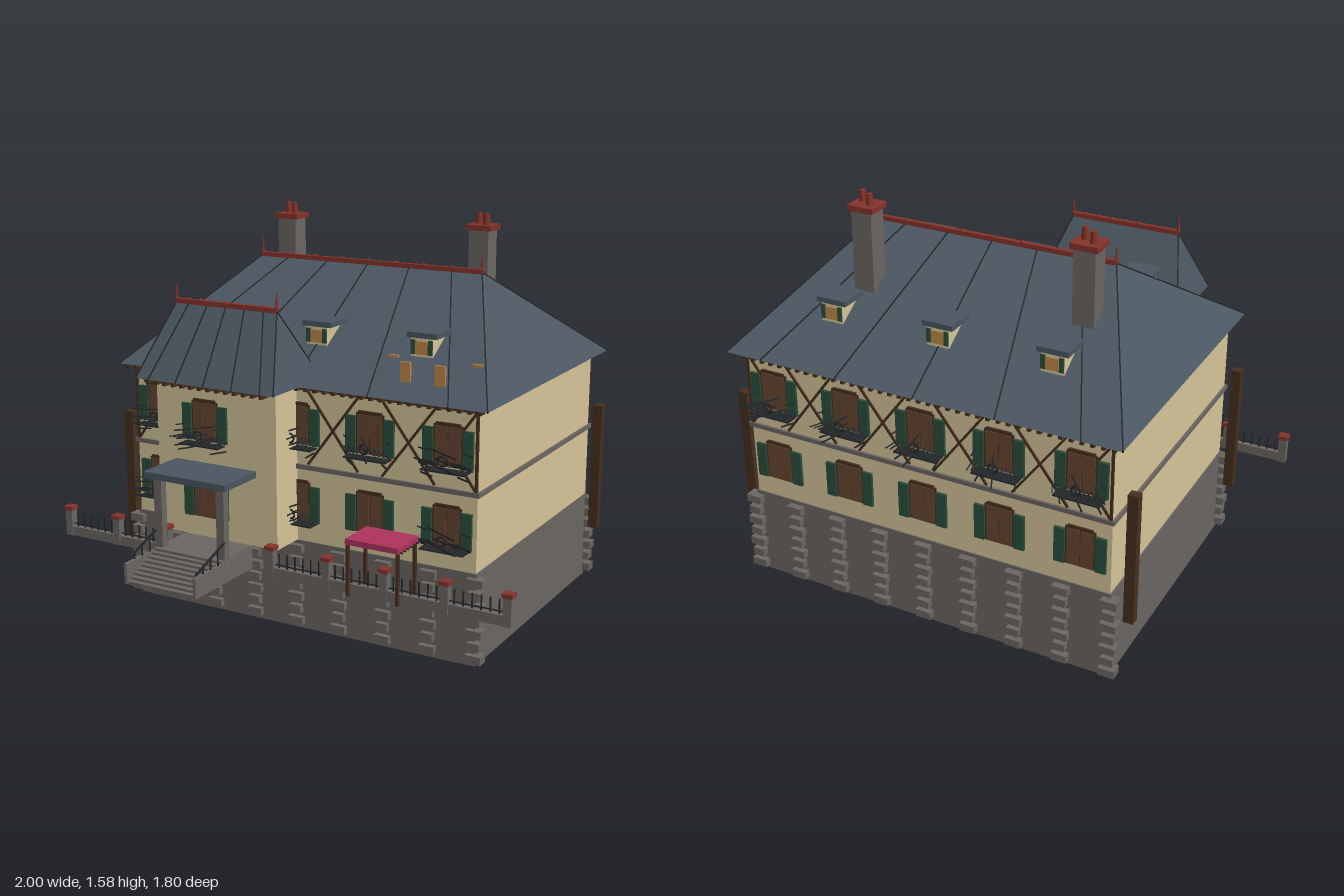
import * as THREE from 'three';

const mat = (name, color) => Object.assign(new THREE.MeshStandardMaterial({ color }), { name });

export function createModel() {
  const M = {
    cream: mat('creamRender', 0xd9c89b), stone: mat('greyStone', 0x6c6763), slate: mat('blueSlate', 0x4b5762),
    red: mat('redTerracotta', 0x87332b), wood: mat('brownWood', 0x674731), timber: mat('darkTimber', 0x47301f),
    green: mat('greenShutter', 0x2b4f3d), iron: mat('blackIron', 0x24272a), ochre: mat('ochreWood', 0xc08a48),
    pink: mat('pinkCloth', 0xb03360),
  };
  const house = new THREE.Group();
  house.name = 'house';
  const add = (parent, name, geo, m, x = 0, y = 0, z = 0) => {
    const mesh = new THREE.Mesh(geo, m);
    mesh.name = name;
    mesh.position.set(x, y, z);
    parent.add(mesh);
    return mesh;
  };
  // Box given by its limits on each axis
  const box = (p, name, m, x0, x1, y0, y1, z0, z1) =>
    add(p, name, new THREE.BoxGeometry(x1 - x0, y1 - y0, z1 - z0), m, (x0 + x1) / 2, (y0 + y1) / 2, (z0 + z1) / 2);
  // Square bar between two points
  const bar = (p, name, m, a, b, w, d = w) => {
    const A = new THREE.Vector3(...a), B = new THREE.Vector3(...b);
    const mesh = add(p, name, new THREE.BoxGeometry(w, d, A.distanceTo(B)), m);
    mesh.position.copy(A).add(B).multiplyScalar(0.5);
    mesh.lookAt(B);
    return mesh;
  };
  const group = (name, x = 0, y = 0, z = 0) => {
    const g = new THREE.Group();
    g.name = name;
    g.position.set(x, y, z);
    house.add(g);
    return g;
  };

  // Basement, walls and bands
  box(house, 'basement', M.stone, -0.77, 0.77, 0, 0.365, -0.81, 0.325);
  box(house, 'walls', M.cream, -0.765, 0.765, 0.365, 0.985, -0.805, 0.32);
  box(house, 'stringCourse', M.stone, -0.775, 0.775, 0.658, 0.676, -0.815, 0.33);
  box(house, 'eavesBand', M.timber, -0.775, 0.775, 0.972, 0.988, -0.815, 0.33);
  box(house, 'bay', M.cream, -0.55, 0, 0.365, 0.99, 0.3, 0.47);

  // Projecting stones on the basement
  for (let c = 0; c < 9; c++) for (let r = 0; r < 7; r++) {
    const x = (c - 4) * 0.1925, y = 0.018 + r * 0.05, s = r % 2 ? 0.025 : 0.032;
    box(house, 'frontStone', M.stone, x - s, x + s, y, y + 0.032, 0.3, 0.348);
    box(house, 'backStone', M.stone, x - s, x + s, y, y + 0.032, -0.838, -0.79);
  }

  // Hipped roof with seams, ridge and finials
  function hipRoof(name, x0, x1, z0, z1, y0, r0, r1, y1, seams, front) {
    const g = group(name), rz = (z0 + z1) / 2;
    const a = [x0, y0, z0], b = [x1, y0, z0], c = [x1, y0, z1], d = [x0, y0, z1], e = [r0, y1, rz], f = [r1, y1, rz];
    const geo = new THREE.BufferGeometry();
    const tris = [d, c, f, d, f, e, b, a, e, b, e, f, c, b, f, a, d, e, a, b, c, a, c, d];
    geo.setAttribute('position', new THREE.Float32BufferAttribute(tris.flat(), 3));
    geo.computeVertexNormals();
    add(g, 'slates', geo, M.slate);
    const cx = (x0 + x1) / 2, rc = (r0 + r1) / 2;
    for (const t of seams) for (const z of front ? [z1] : [z0, z1])
      bar(g, 'seam', M.iron, [cx + t * 0.81 * (x1 - x0) / 2, y0, z], [rc + t * 0.74 * (r1 - r0) / 2, y1, rz], 0.005);
    for (const [p, q] of [[a, e], [d, e], [b, f], [c, f]]) bar(g, 'hip', M.iron, p, q, 0.005);
    box(g, 'ridge', M.red, r0, r1, y1 - 0.006, y1 + 0.012, rz - 0.01, rz + 0.01);
    for (let i = 0; i <= 8; i++)
      add(g, 'ridgeKnob', new THREE.SphereGeometry(0.009, 8, 6), M.red, r0 + (r1 - r0) * i / 8, y1 + 0.01, rz);
    for (const x of [r0, r1])
      add(g, 'finial', new THREE.CylinderGeometry(0.002, 0.007, 0.07, 8), M.red, x, y1 + 0.035, rz);
  }
  hipRoof('mainRoof', -0.815, 0.815, -0.86, 0.365, 0.99, -0.51, 0.505, 1.38, [-1, -0.5, 0, 0.5, 1], false);
  hipRoof('bayRoof', -0.59, 0.04, 0.2, 0.55, 0.992, -0.51, -0.05, 1.275, [-1, -0.5, 0, 0.5, 1], true);

  // Rafter tails under the eaves
  for (let x = -0.78; x < 0.79; x += 0.04) {
    if (x < -0.56 || x > 0.01) box(house, 'frontRafter', M.timber, x - 0.007, x + 0.007, 0.974, 0.988, 0.32, 0.36);
    else box(house, 'bayRafter', M.timber, x - 0.007, x + 0.007, 0.974, 0.99, 0.5, 0.545);
    box(house, 'backRafter', M.timber, x - 0.007, x + 0.007, 0.974, 0.988, -0.855, -0.805);
  }

  // Chimneys with twin pots
  for (const [x, z] of [[-0.492, -0.45], [0.395, -0.49]]) {
    const g = group('chimney', x, 0, z);
    box(g, 'stack', M.stone, -0.043, 0.043, 1.1, 1.52, -0.042, 0.042);
    box(g, 'cap', M.red, -0.055, 0.055, 1.515, 1.537, -0.05, 0.05);
    for (const s of [-1, 1])
      add(g, 'pot', new THREE.CylinderGeometry(0.012, 0.014, 0.05, 10), M.red, s * 0.022, 1.557, s * 0.012);
  }

  // Dormers on both slopes
  for (const x of [-0.46, 0, 0.455]) for (const s of [1, -1]) {
    const g = group('dormer', x, 0, s > 0 ? 0.11 : -0.61);
    if (s < 0) g.rotation.y = Math.PI;
    box(g, 'cheeks', M.cream, -0.046, 0.046, 1.08, 1.19, -0.05, 0.058);
    box(g, 'cap', M.slate, -0.063, 0.063, 1.187, 1.208, -0.062, 0.062);
    box(g, 'window', M.ochre, -0.026, 0.026, 1.125, 1.175, 0.054, 0.063);
    for (const t of [-1, 1]) box(g, 'shutter', M.green, t * 0.036 - 0.009, t * 0.036 + 0.009, 1.125, 1.18, 0.055, 0.064);
  }
  // Ochre boards standing on the front slope
  for (const x of [0.445, 0.587]) box(house, 'roofBoard', M.ochre, x - 0.021, x + 0.021, 1.04, 1.118, 0.274, 0.284);
  for (const x of [0.345, 0.69]) box(house, 'roofSlat', M.ochre, x - 0.02, x + 0.02, 1.106, 1.116, 0.176, 0.186);

  // Iron railing: a shallow balcony in front of a window
  function balcony(g, y, brackets) {
    const w = 0.09, d = 0.054, h = 0.075;
    box(g, 'balconyFloor', M.iron, -w, w, y, y + 0.005, 0, d);
    for (const yy of [y + h, y + 0.018]) {
      bar(g, 'rail', M.iron, [-w, yy, d], [w, yy, d], 0.005);
      for (const s of [-w, w]) bar(g, 'sideRail', M.iron, [s, yy, 0], [s, yy, d], 0.004);
    }
    for (let i = 0; i <= 10; i++) {
      const x = -w + i * w / 5;
      if (i < 4 || i > 6) bar(g, 'baluster', M.iron, [x, y, d], [x, y + h, d], 0.0035);
    }
    add(g, 'rosette', new THREE.TorusGeometry(0.018, 0.004, 6, 12), M.iron, 0, y + 0.045, d);
    for (const s of [-1, 1]) {
      bar(g, 'rosetteArm', M.iron, [-0.028, y + 0.045 - s * 0.028, d], [0.028, y + 0.045 + s * 0.028, d], 0.004);
      if (brackets) bar(g, 'bracket', M.iron, [s * 0.075, y - 0.04, 0], [s * 0.075, y, d], 0.005);
    }
  }
  // Shuttered window, centred at height y
  function windowUnit(x, y, z, rail, back) {
    const g = group('window', x, 0, z);
    if (back) g.rotation.y = Math.PI;
    box(g, 'frame', M.timber, -0.059, 0.059, y - 0.078, y + 0.08, -0.01, 0.006);
    box(g, 'lintel', M.timber, -0.05, 0.05, y + 0.078, y + 0.088, -0.01, 0.008);
    for (const s of [-1, 1]) {
      box(g, 'panel', M.wood, s * 0.027 - 0.025, s * 0.027 + 0.025, y - 0.075, y + 0.074, 0, 0.009);
      box(g, 'shutter', M.green, s * 0.081 - 0.021, s * 0.081 + 0.021, y - 0.078, y + 0.066, 0, 0.012);
    }
    if (rail) balcony(g, y - (rail === 2 ? 0.09 : 0.085), rail === 2);
  }
  for (const x of [-0.645, -0.322, 0, 0.322, 0.645]) {
    const inBay = x === -0.322, z = inBay ? 0.47 : 0.32;
    windowUnit(x, 0.835, z, 2, false);
    windowUnit(x, 0.525, z, inBay || x === 0.322 ? 0 : 1, false);
    windowUnit(x, 0.835, -0.805, 2, true);
    windowUnit(x, 0.525, -0.805, 0, true);
  }

  // Crossed timber framing on the upper floor
  for (const z of [0.322, -0.807]) {
    for (const x of [-0.483, -0.161, 0.161, 0.483]) {
      if (z > 0 && x < 0 && x > -0.5) continue;
      for (const s of [-1, 1]) bar(house, 'crossBrace', M.timber, [x - s * 0.11, 0.68, z], [x + s * 0.11, 0.972, z], 0.009);
    }
    for (const s of [-1, 1]) {
      bar(house, 'cornerPost', M.timber, [s * 0.76, 0.676, z], [s * 0.76, 0.972, z], 0.01);
      for (const t of [-1, 1]) bar(house, 'cornerBrace', M.timber, [s * 0.755, 0.826 + t * 0.145, z], [s * 0.65, 0.826, z], 0.009);
    }
  }

  // Tall timber posts beside the walls
  for (const [x, z] of [[0.825, -0.76], [-0.825, -0.76], [-0.825, 0.29]])
    box(house, 'sidePost', M.timber, x - 0.02, x + 0.02, 0.238, 0.775, z - 0.018, z + 0.018);

  // Garden wall with capped piers and pickets
  const piers = [[-0.98, -0.735, -0.49], [0, 0.245, 0.49, 0.735, 0.98]];
  for (const run of piers) {
    const g = group('gardenWall');
    box(g, 'lowWall', M.stone, run[0], run[run.length - 1], 0.276, 0.315, 0.502, 0.524);
    run.forEach((x, i) => {
      box(g, 'pier', M.stone, x - 0.016, x + 0.016, 0.276, 0.386, 0.497, 0.529);
      box(g, 'pierCap', M.red, x - 0.02, x + 0.02, 0.384, 0.4, 0.493, 0.533);
      if (i === run.length - 1) return;
      for (let k = 1; k < 7; k++) {
        const px = x + k * 0.035;
        bar(g, 'picket', M.iron, [px, 0.31, 0.513], [px, 0.372, 0.513], 0.005);
      }
      bar(g, 'picketRail', M.iron, [x, 0.326, 0.513], [x + 0.245, 0.326, 0.513], 0.004);
    });
  }

  // Porch, front steps and handrails
  const porch = group('porch');
  box(porch, 'landing', M.stone, -0.43, -0.115, 0.276, 0.365, 0.47, 0.68);
  for (let i = 0; i < 8; i++)
    box(porch, 'step', M.stone, -0.425, -0.12, 0.276, 0.355 - i * 0.0095, 0.67, 0.7 + i * 0.0222);
  for (const x of [-0.432, -0.116]) {
    box(porch, 'stepCheek', M.stone, x - 0.006, x + 0.006, 0.276, 0.357, 0.48, 0.856);
    box(porch, 'porchPost', M.stone, x < -0.3 ? -0.435 : -0.148, x < -0.3 ? -0.4 : -0.113, 0.36, 0.645, 0.63, 0.662);
    bar(porch, 'handrail', M.iron, [x, 0.365, 0.845], [x, 0.435, 0.655], 0.007);
    for (const t of [0.25, 0.5, 0.75])
      bar(porch, 'handrailPost', M.iron, [x, 0.35, 0.845 - t * 0.19], [x, 0.365 + t * 0.07, 0.845 - t * 0.19], 0.005);
  }
  box(porch, 'porchRoof', M.slate, -0.465, -0.092, 0.643, 0.668, 0.465, 0.682);

  // Cloth canopy on four legs
  const canopy = group('canopy');
  box(canopy, 'cloth', M.pink, 0.346, 0.565, 0.478, 0.5, 0.392, 0.555);
  for (const x of [0.352, 0.559]) for (const z of [0.41, 0.545])
    box(canopy, 'leg', M.timber, x - 0.006, x + 0.006, 0.276, 0.48, z - 0.006, z + 0.006);
  for (let i = 0; i < 6; i++) for (const x of [0.342, 0.569])
    box(canopy, 'fringe', M.timber, x - 0.006, x + 0.006, 0.476, 0.482, 0.408 + i * 0.025, 0.414 + i * 0.025);

  return house;
}
